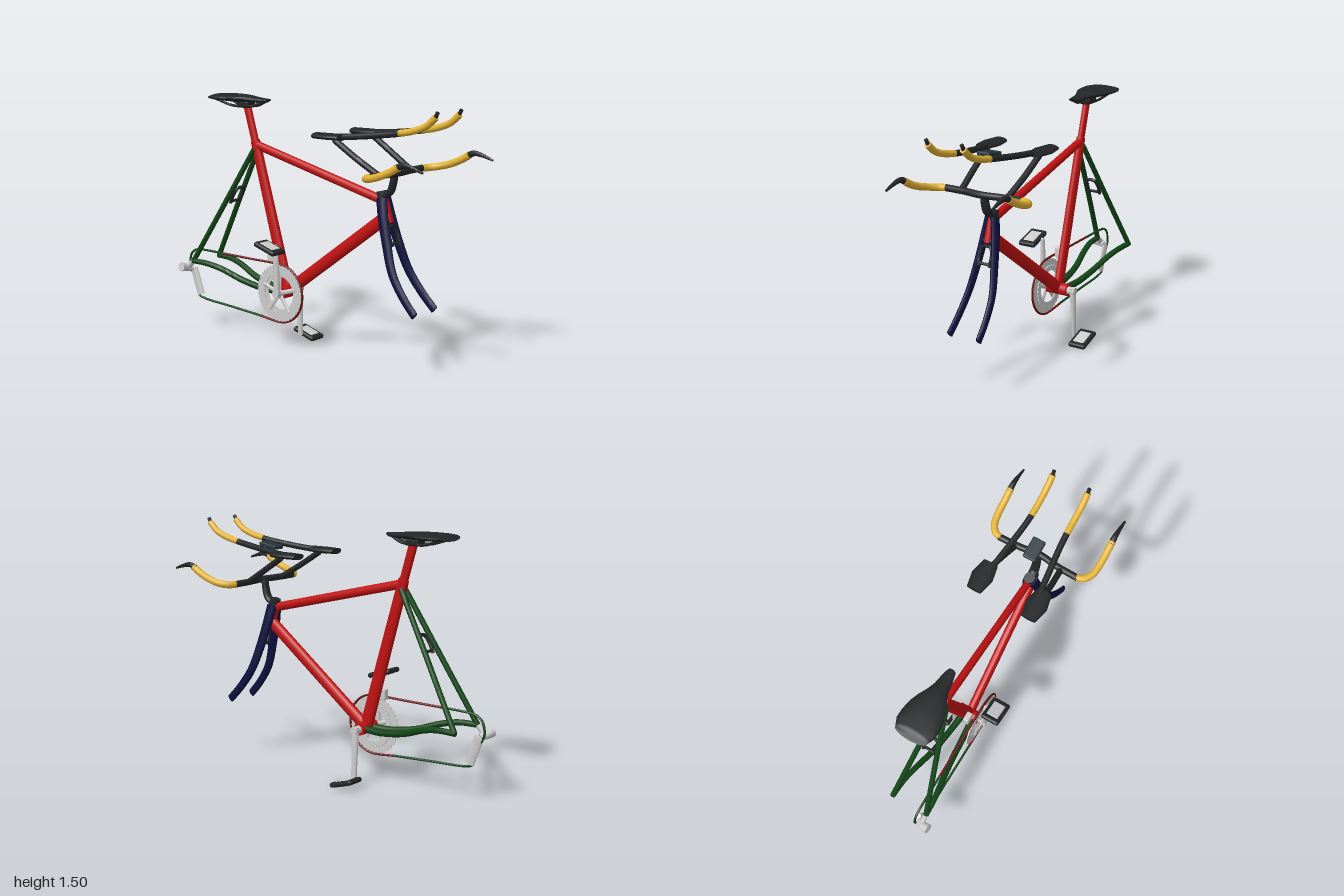
import * as THREE from 'three';
import { toCreasedNormals } from 'three/addons/utils/BufferGeometryUtils.js';
import { RoundedBoxGeometry } from 'three/addons/geometries/RoundedBoxGeometry.js';

const paint = (color) => new THREE.MeshStandardMaterial({ color });
const RED = paint(0xc01212), GREEN = paint(0x124416), BLUE = paint(0x10103f), BLACK = paint(0x232527),
  YELLOW = paint(0xe3b234), GREY = paint(0xcccccc), DARKRED = paint(0x6e1414), SLATE = paint(0x27363d);

export function createModel() {
  const model = new THREE.Group();

  function add(name, geometry, material, x = 0, y = 0, z = 0, rx = 0) {
    const mesh = new THREE.Mesh(geometry, material);
    mesh.name = name;
    mesh.position.set(x, y, z);
    mesh.rotation.x = rx;
    model.add(mesh);
    return mesh;
  }

  // Capped tube along a path; size(t) gives a radius, or [x, y, z] radii for oval sections
  function tube(name, material, points, size, sides = 12) {
    const curve = new THREE.CatmullRomCurve3(points.map((p) => new THREE.Vector3(...p)), false, 'centripetal');
    const n = points.length === 2 ? 2 : points.length * 6, rings = n + 2;
    const geo = new THREE.TubeGeometry(curve, rings, 1, sides);
    const pos = geo.attributes.position, v = new THREE.Vector3();
    for (let i = 0; i <= rings; i++) {
      const from = curve.getPointAt(i / rings);
      const t = THREE.MathUtils.clamp((i - 1) / n, 0, 1), to = curve.getPointAt(t);
      const s = typeof size === 'function' ? size(t) : size;
      const scale = Array.isArray(s) ? new THREE.Vector3(...s) : new THREE.Vector3(s, s, s);
      if (i === 0 || i === rings) scale.set(0, 0, 0);
      for (let j = 0; j <= sides; j++) {
        const k = i * (sides + 1) + j;
        v.fromBufferAttribute(pos, k).sub(from).multiply(scale).add(to);
        pos.setXYZ(k, v.x, v.y, v.z);
      }
    }
    return add(name, toCreasedNormals(geo, 0.8), material);
  }
  const mirrored = (name, material, points, size, sides) => {
    for (const s of [1, -1]) {
      tube((s > 0 ? 'left' : 'right') + name, material, points.map(([x, y, z]) => [s * x, y, z]), size, sides);
    }
  };
  const lerp = THREE.MathUtils.lerp;
  const steps = (list, t) => {
    const f = t * (list.length - 1), i = Math.min(Math.floor(f), list.length - 2);
    return lerp(list[i], list[i + 1], f - i);
  };

  // Main frame
  tube('topTube', RED, [[0, 0.965, 0.5], [0, 1.205, -0.46]], [0.022, 0.026, 0.026], 16);
  tube('downTube', RED, [[0, 0.875, 0.52], [0, 0.34, -0.21]], [0.026, 0.038, 0.038], 16);
  tube('seatTube', RED, [[0, 0.335, -0.215], [0, 1.23, -0.475]], (t) => [0.024, 0.04, lerp(0.042, 0.033, t)], 16);
  tube('seatPost', RED, [[0, 1.19, -0.465], [0, 1.44, -0.54]], [0.019, 0.027, 0.027], 16);
  tube('headTube', RED, [[0, 0.84, 0.535], [0, 0.98, 0.495]], [0.026, 0.034, 0.034], 16);
  tube('bottomBracket', RED, [[-0.07, 0.335, -0.215], [0.07, 0.335, -0.215]], 0.037, 20);

  // Rear triangle
  mirrored('SeatStay', GREEN, [[0.018, 1.18, -0.47], [0.06, 0.85, -0.668], [0.115, 0.445, -0.91]], 0.016);
  mirrored('ChainStay', GREEN, [[0.03, 0.335, -0.22], [0.045, 0.335, -0.36], [0.062, 0.365, -0.53],
    [0.09, 0.42, -0.69], [0.108, 0.442, -0.8], [0.115, 0.445, -0.915]], (t) => lerp(0.021, 0.017, t));

  // Fork
  mirrored('ForkBlade', BLUE, [[0.018, 0.98, 0.5], [0.035, 0.88, 0.522], [0.055, 0.73, 0.565], [0.078, 0.57, 0.625],
    [0.09, 0.45, 0.71], [0.096, 0.365, 0.79]], (t) => [lerp(0.021, 0.014, t), 0.028, lerp(0.036, 0.022, t)]);
  tube('forkCrown', BLUE, [[-0.035, 0.85, 0.53], [0.035, 0.85, 0.53]], 0.026);

  // Brake calipers: a small arch with a lower bridge
  for (const [name, y, z, lean, back] of [['frontBrake', 0.78, 0.57, -0.3, 0], ['rearBrake', 0.89, -0.615, 0.52, 1]]) {
    const at = (px, py) => [px, y + py * Math.cos(lean), z + py * Math.sin(lean) - back * 0.01];
    tube(name + 'Arch', BLACK, [at(-0.035, -0.065), at(-0.04, 0), at(-0.025, 0.045), at(0.025, 0.045),
      at(0.04, 0), at(0.035, -0.065)], 0.01, 8);
    tube(name + 'Bridge', BLACK, [at(-0.036, -0.05), at(0.036, -0.05)], 0.009, 8);
  }

  // Headset, stem and base bar
  tube('headset', BLACK, [[0, 0.96, 0.502], [0, 1.02, 0.487]], 0.032, 16);
  tube('stem', BLACK, [[0, 0.99, 0.5], [0, 1.02, 0.545], [0, 1.07, 0.565], [0, 1.13, 0.575]],
    (t) => [lerp(0.03, 0.024, t), 0.02, 0.02]);
  tube('baseBar', BLACK, [[-0.26, 1.13, 0.58], [-0.12, 1.13, 0.585], [0, 1.13, 0.6], [0.12, 1.13, 0.585],
    [0.26, 1.13, 0.58]], 0.02);
  mirrored('BarGrip', YELLOW, [[0.25, 1.13, 0.58], [0.29, 1.13, 0.595], [0.322, 1.137, 0.64], [0.333, 1.155, 0.71],
    [0.334, 1.185, 0.785], [0.334, 1.218, 0.845]], 0.021);
  mirrored('BrakeLever', BLACK, [[0.334, 1.212, 0.83], [0.334, 1.23, 0.875], [0.334, 1.222, 0.93], [0.334, 1.2, 0.998]],
    (t) => lerp(0.02, 0.006, t), 8);

  // Time-trial extensions with elbow pads
  mirrored('ExtensionArm', BLACK, [[0.15, 1.13, 0.575], [0.165, 1.215, 0.43], [0.172, 1.305, 0.285]], 0.018);
  mirrored('Extension', BLACK, [[0.165, 1.318, 0.22], [0.14, 1.332, 0.42], [0.117, 1.355, 0.62], [0.113, 1.365, 0.69]], 0.018);
  mirrored('ExtensionGrip', YELLOW, [[0.113, 1.365, 0.685], [0.112, 1.382, 0.77], [0.112, 1.415, 0.86],
    [0.112, 1.465, 0.92]], 0.019);
  mirrored('ShiftTip', BLACK, [[0.112, 1.455, 0.912], [0.112, 1.492, 0.932]], 0.011);
  mirrored('ElbowPad', BLACK, [[0.172, 1.322, 0.15], [0.172, 1.322, 0.335]],
    (t) => [steps([0.045, 0.062, 0.065, 0.063, 0.045], t), 0.018, 1], 20);
  add('bikeComputer', new RoundedBoxGeometry(0.08, 0.025, 0.13, 2, 0.008), SLATE, 0, 1.345, 0.52, -0.15);

  // Saddle: widths run from tail to nose
  const widths = [0.095, 0.117, 0.116, 0.108, 0.088, 0.062, 0.045, 0.037, 0.025];
  tube('saddle', BLACK, [[0, 1.487, -0.778], [0, 1.484, -0.65], [0, 1.478, -0.5], [0, 1.476, -0.372]],
    (t) => [steps(widths, t), steps([0.018, 0.022, 0.022, 0.018, 0.012], t), 1], 24);
  mirrored('SaddleRail', BLACK, [[0.012, 1.47, -0.4], [0.025, 1.443, -0.47], [0.028, 1.436, -0.55],
    [0.035, 1.44, -0.64], [0.06, 1.475, -0.75]], 0.008, 8);
  add('saddleClamp', new RoundedBoxGeometry(0.075, 0.04, 0.09, 2, 0.01), BLACK, 0, 1.447, -0.55);

  // Chainrings and spider
  const ring = (outer, inner, teeth) => {
    const shape = new THREE.Shape();
    const count = teeth * 4;
    for (let i = 0; i < count; i++) {
      const a = (i / count) * Math.PI * 2, r = outer - (i % 4 < 2 ? 0 : 0.006);
      shape[i ? 'lineTo' : 'moveTo'](r * Math.cos(a), r * Math.sin(a));
    }
    shape.holes.push(new THREE.Path().absarc(0, 0, inner, 0, Math.PI * 2, true));
    return new THREE.ExtrudeGeometry(shape, { depth: 0.006, bevelEnabled: false, curveSegments: 32 });
  };
  const hub = { y: 0.335, z: -0.215 };
  add('largeChainring', ring(0.175, 0.118, 40), GREY, -0.082, hub.y, hub.z).rotation.y = Math.PI / 2;
  add('smallChainring', ring(0.135, 0.1, 30), GREY, -0.07, hub.y, hub.z).rotation.y = Math.PI / 2;
  for (let i = 0; i < 5; i++) {
    const a = (i / 5) * Math.PI * 2 + 0.3;
    tube('spiderArm', GREY, [[-0.08, hub.y, hub.z],
      [-0.08, hub.y + 0.13 * Math.sin(a), hub.z + 0.13 * Math.cos(a)]], [0.007, 0.014, 0.014], 8);
  }

  // Chain: front run around the chainring, rear run around the cassette line
  const chainX = -0.077, front = [[chainX, 0.517, -0.7], [chainX, 0.515, -0.45]];
  for (let i = 0; i <= 10; i++) {
    const a = Math.PI / 2 - (i / 10) * Math.PI;
    front.push([chainX, hub.y + 0.178 * Math.sin(a), hub.z + 0.178 * Math.cos(a)]);
  }
  front.push([chainX, 0.17, -0.37]);
  tube('frontChain', DARKRED, front, 0.007, 6);
  tube('rearChain', GREEN, [[chainX, 0.17, -0.36], [chainX, 0.188, -0.62], [chainX, 0.205, -0.86], [chainX, 0.22, -0.905],
    [chainX, 0.3, -0.92], [chainX, 0.37, -0.965], [chainX, 0.41, -0.98], [chainX, 0.48, -0.965],
    [chainX, 0.51, -0.925], [chainX, 0.517, -0.87], [chainX, 0.517, -0.69]], 0.007, 6);

  // Derailleurs
  tube('rearDerailleurCage', GREY, [[chainX, 0.225, -0.885], [chainX, 0.39, -0.945]], [0.013, 0.03, 0.03], 10);
  tube('rearDerailleurBody', GREY, [[-0.085, 0.39, -0.945], [-0.115, 0.395, -0.965], [-0.165, 0.405, -0.972]],
    (t) => lerp(0.02, 0.03, t), 10);
  tube('rearDerailleurHanger', GREY, [[-0.112, 0.445, -0.915], [-0.115, 0.4, -0.955]], 0.016, 8);
  add('frontDerailleur', new RoundedBoxGeometry(0.035, 0.065, 0.06, 2, 0.006), GREY, -0.042, 0.54, -0.3);

  // Cranks and pedals, half a turn apart
  for (const s of [1, -1]) {
    const side = s > 0 ? 'left' : 'right', endY = s > 0 ? 0.04 : 0.63;
    tube(side + 'CrankAxle', GREY, [[s * 0.065, hub.y, hub.z], [s * 0.12, hub.y, hub.z]], 0.024, 14);
    tube(side + 'Crank', GREY, [[s * 0.102, hub.y + s * 0.02, hub.z], [s * 0.114, endY, hub.z]],
      (t) => [lerp(0.018, 0.011, t), 0.02, lerp(0.024, 0.018, t)]);
    tube(side + 'PedalAxle', GREY, [[s * 0.105, endY, hub.z], [s * 0.2, endY, hub.z]], 0.01, 8);
    add(side + 'Pedal', new RoundedBoxGeometry(0.115, 0.03, 0.165, 4, 0.014), BLACK, s * 0.178, endY, -0.205, 0.3);
    add(side + 'PedalPlate', new RoundedBoxGeometry(0.075, 0.037, 0.105, 2, 0.006), GREY, s * 0.178, endY, -0.205, 0.3);
  }
  return model;
}
